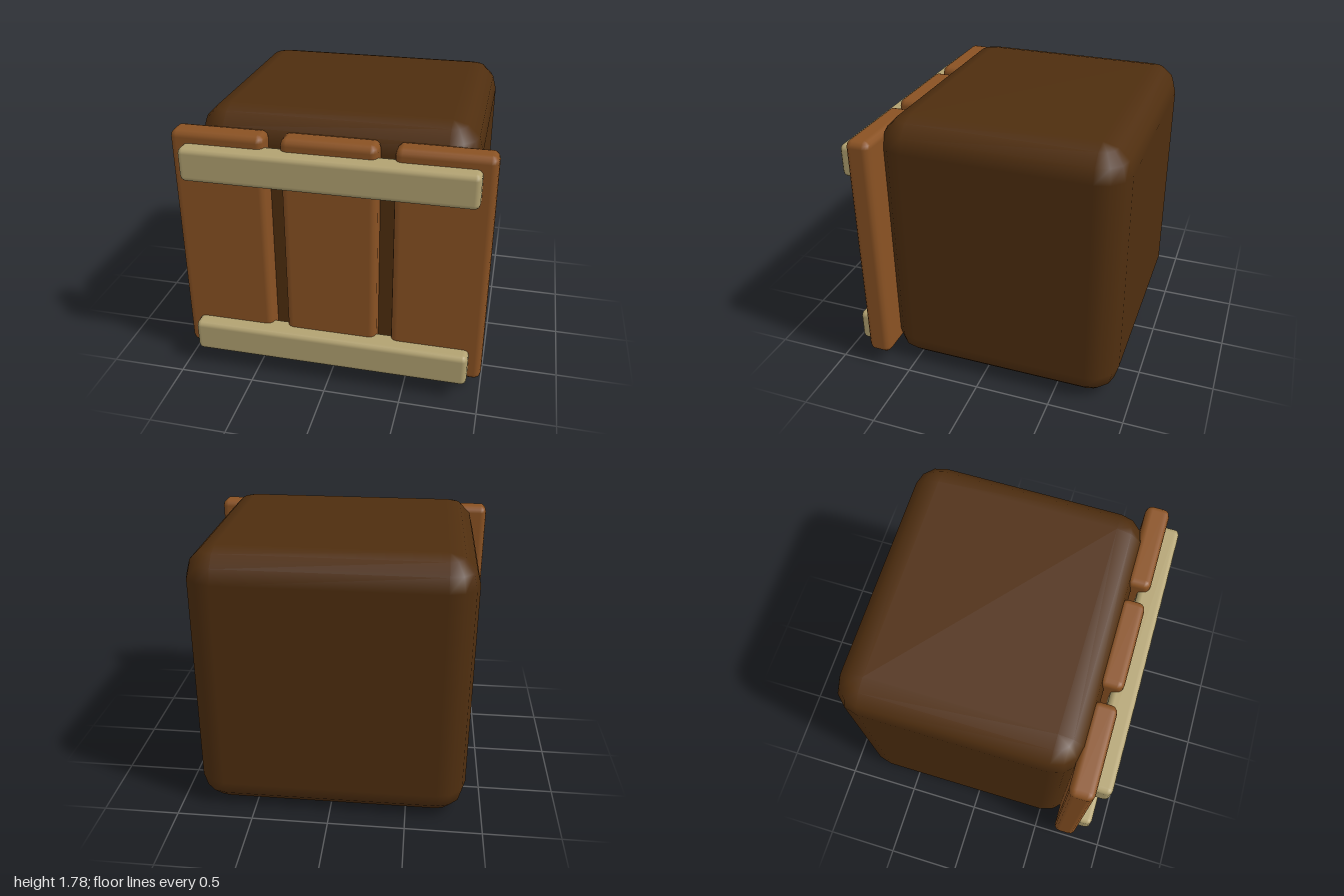
import * as THREE from 'three';

const darkWood = new THREE.MeshStandardMaterial({ name: 'darkWood', color: 0x4f2e0f });
const plankWood = new THREE.MeshStandardMaterial({ name: 'plankWood', color: 0x8a5223 });
const paleWood = new THREE.MeshStandardMaterial({ name: 'paleWood', color: 0xb3a372 });

// Box with every edge rounded in `steps` segments: a sphere split into eight octants pushed to the corners
function roundedBox(w, h, d, r, steps = 3) {
  const pos = [], nor = [], idx = [];
  const n = steps + 1, cols = 4 * n, rows = 2 * n;
  const quarter = Math.PI / 2;
  for (let i = 0; i < rows; i++) {
    const sy = i < n ? -1 : 1;
    const lat = ((i < n ? i : i - 1) / steps - 1) * quarter;
    for (let j = 0; j < cols; j++) {
      const q = Math.floor(j / n);
      const lon = (q + (j % n) / steps) * quarter;
      const mid = (q + 0.5) * quarter;
      const nx = Math.cos(lat) * Math.sin(lon), ny = Math.sin(lat), nz = Math.cos(lat) * Math.cos(lon);
      pos.push(
        Math.sign(Math.sin(mid)) * (w / 2 - r) + nx * r,
        sy * (h / 2 - r) + ny * r,
        Math.sign(Math.cos(mid)) * (d / 2 - r) + nz * r
      );
      nor.push(nx, ny, nz);
    }
  }
  // Side bands
  for (let i = 0; i < rows - 1; i++) {
    for (let j = 0; j < cols; j++) {
      const k = (j + 1) % cols;
      const a = i * cols + j, b = i * cols + k, c = a + cols, e = b + cols;
      idx.push(a, b, e, a, e, c);
    }
  }
  // Flat bottom and top
  const t = (rows - 1) * cols;
  idx.push(0, 2 * n, n, 0, 3 * n, 2 * n);
  idx.push(t, t + n, t + 2 * n, t, t + 2 * n, t + 3 * n);
  const g = new THREE.BufferGeometry();
  g.setAttribute('position', new THREE.Float32BufferAttribute(pos, 3));
  g.setAttribute('normal', new THREE.Float32BufferAttribute(nor, 3));
  g.setIndex(idx);
  return g;
}

// Rounded block given by its extents on each axis
function block(name, material, [x0, x1], [y0, y1], [z0, z1], r) {
  const mesh = new THREE.Mesh(roundedBox(x1 - x0, y1 - y0, z1 - z0, r), material);
  mesh.position.set((x0 + x1) / 2, (y0 + y1) / 2, (z0 + z1) / 2);
  mesh.name = name;
  return mesh;
}

export function createModel() {
  const model = new THREE.Group();
  model.name = 'crate';

  // Solid body
  model.add(block('body', darkWood, [-0.89, 0.89], [0, 1.78], [-0.895, 0.685], 0.19));

  // Upright planks on the front
  ['rightPlank', 'middlePlank', 'leftPlank'].forEach((name, i) => {
    const x = (i - 1) * 0.7;
    model.add(block(name, plankWood, [x - 0.3, x + 0.3], [0.1, 1.685], [0.64, 0.8], 0.045));
  });

  // Crosswise battens over the planks
  model.add(block('lowerBatten', paleWood, [-0.918, 0.915], [0.115, 0.335], [0.73, 0.895], 0.035));
  model.add(block('upperBatten', paleWood, [-0.918, 0.915], [1.388, 1.608], [0.73, 0.895], 0.035));

  return model;
}
